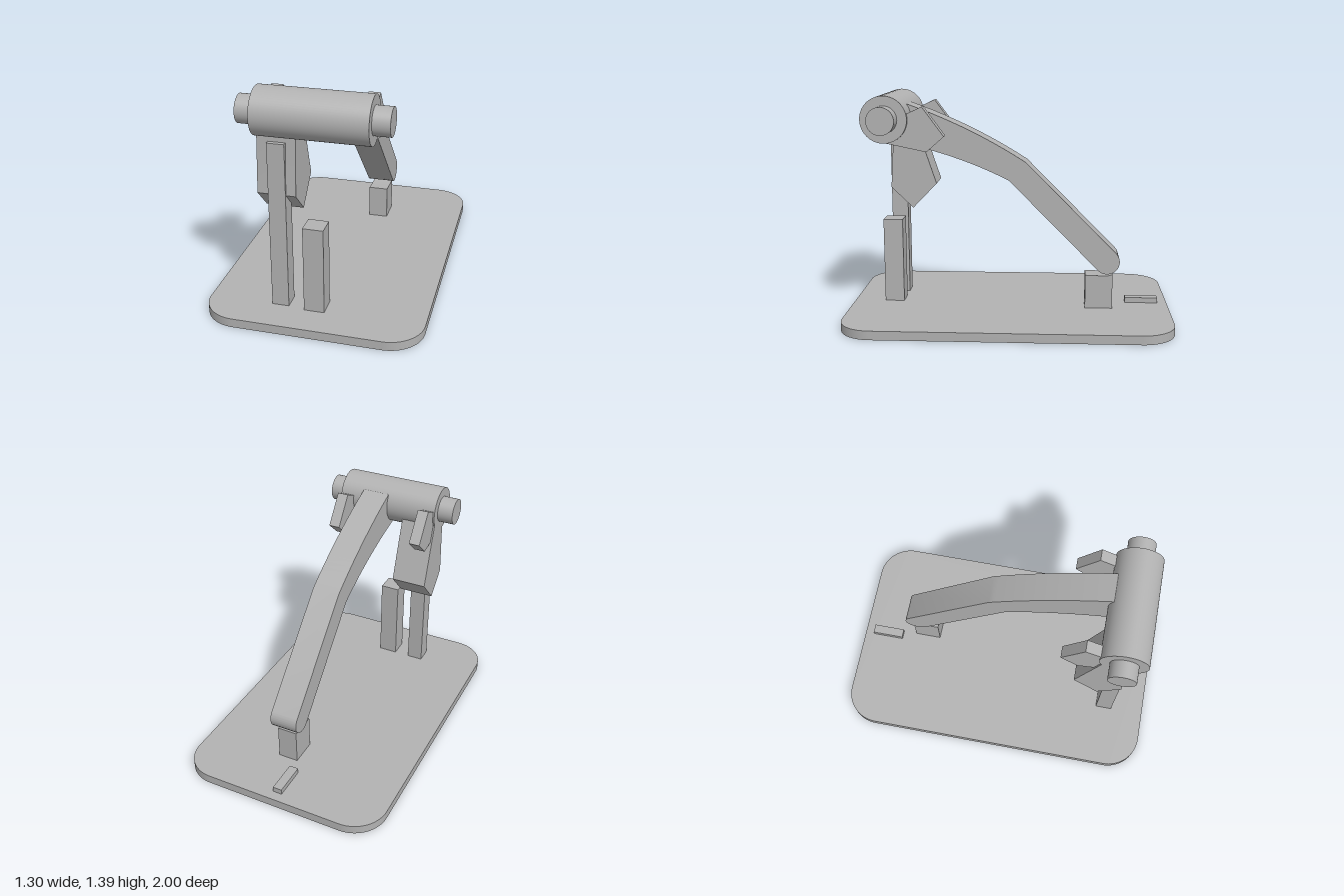
import * as THREE from 'three';
import { toCreasedNormals } from 'three/addons/utils/BufferGeometryUtils.js';

export function createModel() {
  const group = new THREE.Group();
  const grey = new THREE.MeshStandardMaterial({ color: 0xb2b2b2 });
  grey.name = 'plain grey';

  const add = (name, geometry) => {
    const mesh = new THREE.Mesh(geometry, grey);
    mesh.name = name;
    group.add(mesh);
    return mesh;
  };

  // Box given by its lower and upper corners
  const block = (name, [x0, y0, z0], [x1, y1, z1]) =>
    add(name, new THREE.BoxGeometry(x1 - x0, y1 - y0, z1 - z0))
      .position.set((x0 + x1) / 2, (y0 + y1) / 2, (z0 + z1) / 2);

  // Side profile (drawn with -z to the right, y up) extruded from x0 to x1
  const sideProfile = (name, shape, x0, x1) => {
    const geometry = new THREE.ExtrudeGeometry(shape, { depth: x1 - x0, bevelEnabled: false, curveSegments: 20 });
    geometry.rotateY(Math.PI / 2).translate(x0, 0, 0);
    return add(name, toCreasedNormals(geometry, 0.4));
  };
  const polygon = (points) => new THREE.Shape(points.map(([z, y]) => new THREE.Vector2(-z, y)));

  // Base plate with rounded corners
  const w = 0.65, d = 1, r = 0.21;
  const plate = new THREE.Shape();
  plate.absarc(w - r, d - r, r, 0, Math.PI / 2);
  plate.absarc(r - w, d - r, r, Math.PI / 2, Math.PI);
  plate.absarc(r - w, r - d, r, Math.PI, Math.PI * 1.5);
  plate.absarc(w - r, r - d, r, Math.PI * 1.5, Math.PI * 2);
  const base = new THREE.ExtrudeGeometry(plate, { depth: 0.055, bevelEnabled: false, curveSegments: 16 });
  add('basePlate', toCreasedNormals(base.rotateX(-Math.PI / 2), 0.4));

  // Horizontal shaft: thick barrel with a thinner axle through it
  for (const [name, radius, length] of [['barrel', 0.141, 0.66], ['axle', 0.083, 0.86]]) {
    add(name, new THREE.CylinderGeometry(radius, radius, length, 64).rotateZ(Math.PI / 2))
      .position.set(0, 1.25, 0.737);
  }

  // Bent lever arm with a rounded tip
  const arm = new THREE.Shape();
  arm.moveTo(-0.74, 1.112);
  arm.quadraticCurveTo(-0.33, 1.035, 0, 0.866);
  arm.lineTo(0.553, 0.305);
  arm.absarc(0.608, 0.36, 0.078, -Math.PI * 0.75, Math.PI / 4);
  arm.lineTo(0.105, 0.978);
  arm.quadraticCurveTo(-0.23, 1.195, -0.62, 1.332);
  arm.lineTo(-0.74, 1.3);
  sideProfile('leverArm', arm, 0, 0.175);

  // Wide lug hanging from the barrel
  sideProfile('hangingLug', polygon([
    [0.76, 1.2], [0.76, 1.1], [0.78, 0.77], [0.64, 0.635], [0.485, 0.796], [0.576, 1.07], [0.62, 1.2],
  ]), -0.33, -0.105);

  // Pair of small pointed lugs behind the barrel
  for (const x of [-0.32, 0.24]) {
    sideProfile('smallLug', polygon([
      [0.74, 1.11], [0.485, 1.057], [0.38, 1.15], [0.51, 1.327], [0.61, 1.28], [0.74, 1.25],
    ]), x, x + 0.07);
  }

  // Posts standing on the base
  block('tallPost', [-0.265, 0.05, 0.684], [-0.163, 1.08, 0.788]);
  block('shortPost', [-0.065, 0.05, 0.684], [0.057, 0.59, 0.806]);

  // Rest block under the arm tip, top slightly hollowed
  sideProfile('restBlock', polygon([
    [-0.475, 0.05], [-0.645, 0.05], [-0.645, 0.274], [-0.61, 0.264], [-0.475, 0.268],
  ]), 0.025, 0.15);

  // Low marker strip at the back
  block('backStrip', [-0.032, 0.05, -0.94], [0.025, 0.088, -0.735]);

  return group;
}
